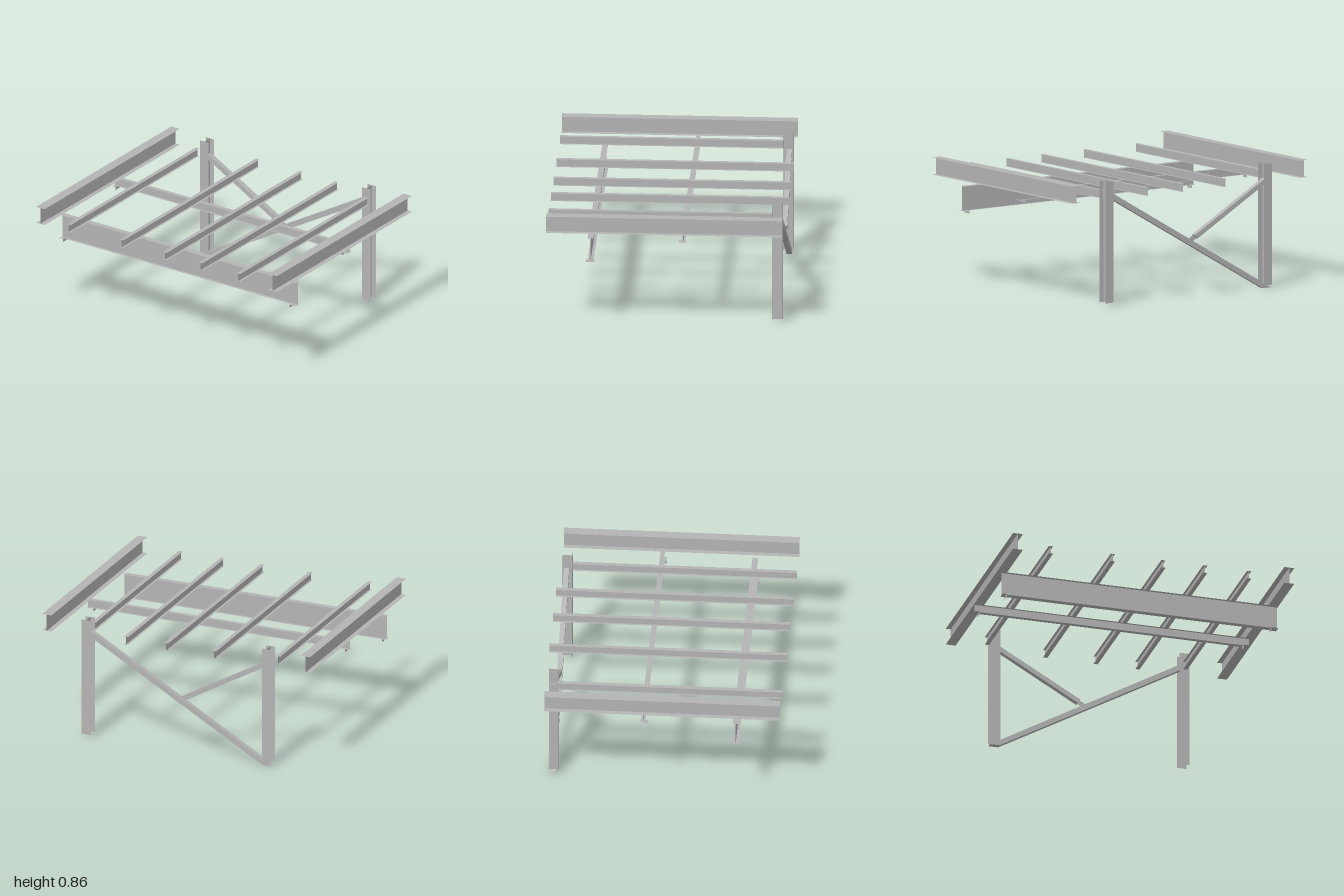
import * as THREE from 'three';
import { mergeGeometries } from 'three/addons/utils/BufferGeometryUtils.js';

const steel = new THREE.MeshStandardMaterial({ color: 0xb4b4b4, side: THREE.DoubleSide });
steel.name = 'grey steel';

const V = (x, y, z) => new THREE.Vector3(x, y, z);

// Thin plate centred at c, spanned by two full edge vectors
function plate(c, e1, e2) {
  const g = new THREE.PlaneGeometry(1, 1);
  const n = e1.clone().cross(e2).normalize();
  return g.applyMatrix4(new THREE.Matrix4().makeBasis(e1, e2, n).setPosition(c));
}

function mesh(name, parts) {
  const m = new THREE.Mesh(mergeGeometries(parts), steel);
  m.name = name;
  return m;
}

// Sheet I-section from a to b: web of given depth along "up", two flanges across it
function iBeam(a, b, depth, width, up) {
  const run = b.clone().sub(a);
  const mid = a.clone().add(b).multiplyScalar(0.5);
  const u = up.clone().normalize();
  const across = run.clone().normalize().cross(u).multiplyScalar(width);
  const parts = [plate(mid, run, u.clone().multiplyScalar(depth))];
  for (const s of [-1, 1]) {
    parts.push(plate(mid.clone().addScaledVector(u, s * depth / 2), run, across));
  }
  return parts;
}

export function createModel() {
  const group = new THREE.Group();
  group.name = 'steelFrame';
  const UP = V(0, 1, 0), BACK = V(0, 0, 1);

  // Deep edge beams running front to back
  for (const s of [-1, 1]) {
    group.add(mesh(s > 0 ? 'leftSideBeam' : 'rightSideBeam',
      iBeam(V(s * 0.965, 0.796, -0.803), V(s * 0.965, 0.796, 0.81), 0.118, 0.07, UP)));
  }

  // Joists between the edge beams, the outer two stopping short of the columns
  const joists = [[-0.73, -0.728], [-0.29, -0.815], [0.07, -0.815], [0.367, -0.815], [0.68, -0.728]];
  for (const [x, zBack] of joists) {
    group.add(mesh('joist', iBeam(V(x, 0.764, zBack), V(x, 0.764, 0.81), 0.055, 0.03, UP)));
  }

  // Cross beams under the joists, each with a small seat angle below both ends
  const crossBeams = [
    { name: 'frontCrossBeam', z: 0.507, y0: 0.522, y1: 0.69, w: 0.04, x0: -0.993, x1: 0.967, cz: 0.512, cw: 0.057 },
    { name: 'middleCrossBeam', z: -0.125, y0: 0.674, y1: 0.732, w: 0.03, x0: -0.997, x1: 0.957, cz: -0.119, cw: 0.048 },
  ];
  for (const c of crossBeams) {
    const y = (c.y0 + c.y1) / 2;
    group.add(mesh(c.name, iBeam(V(c.x0, y, c.z), V(c.x1, y, c.z), c.y1 - c.y0, c.w, UP)));
    for (const [xEnd, xLeg] of [[c.x0, c.x0 + 0.028], [c.x1, c.x1 - 0.047]]) {
      group.add(mesh('seatAngle', [
        plate(V((xEnd + xLeg) / 2, c.y0 - 0.001, c.cz), V(Math.abs(xEnd - xLeg), 0, 0), V(0, 0, c.cw)),
        plate(V(xLeg, c.y0 - 0.011, c.cz), V(0, 0.022, 0), V(0, 0, c.cw)),
      ]));
    }
  }

  // Rear columns, flanges facing front and back
  for (const [name, x] of [['rightColumn', -0.67], ['leftColumn', 0.675]]) {
    group.add(mesh(name, iBeam(V(x, 0.02, -0.757), V(x, 0.857, -0.757), 0.066, 0.07, BACK)));
  }

  // Long diagonal brace: square tube with a level cut at its foot
  const zb = -0.762, wb = 0.036;
  const side = new THREE.Shape([
    [-0.703, 0], [-0.635, 0], [0.66, 0.742], [0.641, 0.774],
  ].map(p => new THREE.Vector2(...p)));
  const longBrace = new THREE.ExtrudeGeometry(side, { depth: wb, bevelEnabled: false });
  longBrace.translate(0, 0, zb - wb / 2);
  group.add(mesh('longBrace', [longBrace]));

  // Short brace: square tube running down to the long one, ending in a flat tab
  const shortSide = new THREE.Shape([
    [-0.673, 0.731], [-0.078, 0.393], [-0.06, 0.421], [-0.655, 0.758],
  ].map(p => new THREE.Vector2(...p)));
  const shortBrace = new THREE.ExtrudeGeometry(shortSide, { depth: wb, bevelEnabled: false });
  shortBrace.translate(0, 0, zb - wb / 2);
  group.add(mesh('shortBrace', [shortBrace]));
  group.add(mesh('braceTab', [
    plate(V(-0.045, 0.393, zb), V(0.047, -0.027, 0), V(0.018, 0.03, 0)),
  ]));

  return group;
}
